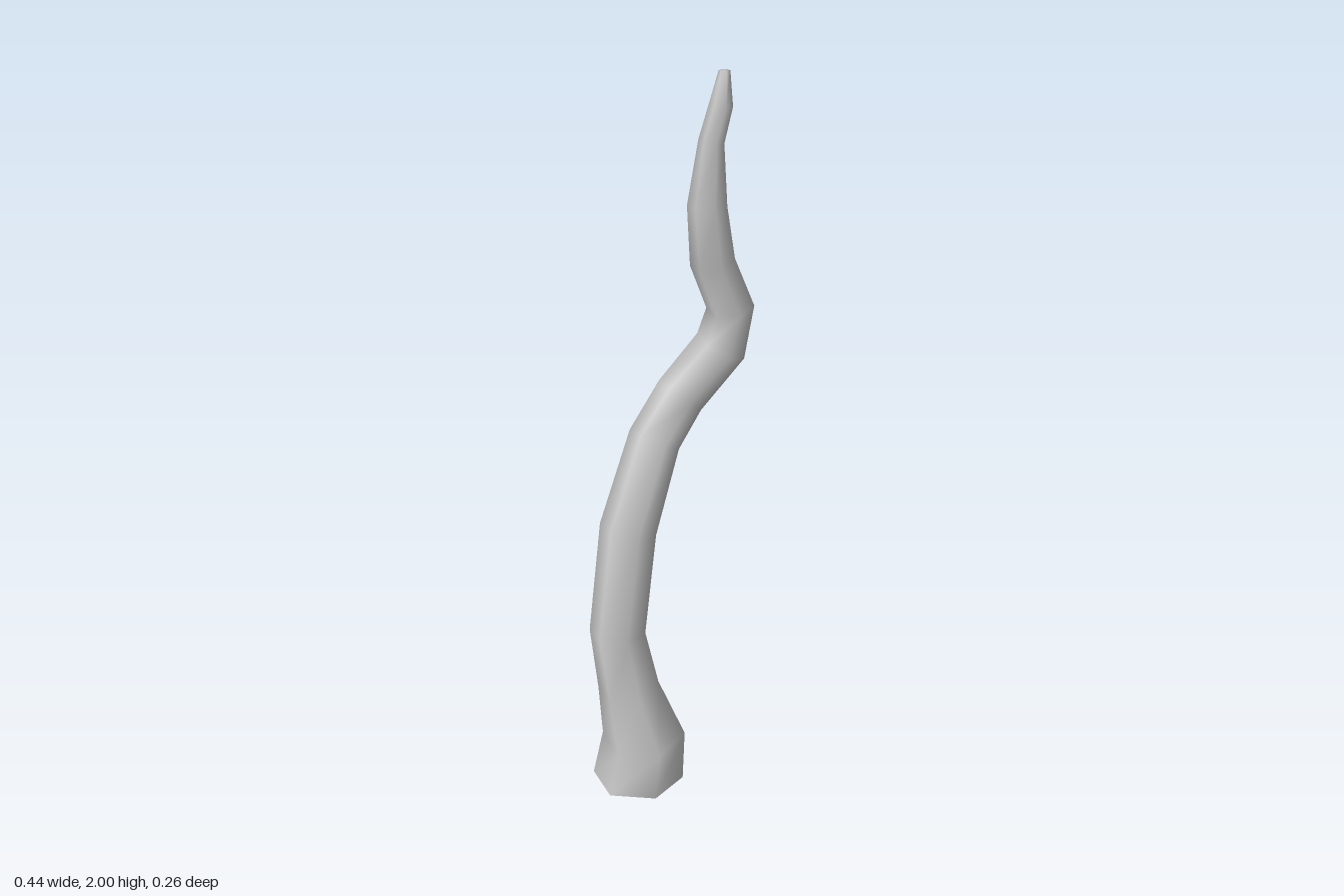
import * as THREE from 'three';

const SIDES = 6;
const START = THREE.MathUtils.degToRad(20);

// Centre line of the tentacle with its radius: x, y, z, r
const RINGS = [
  [-0.088, 0, 0, 0.13],
  [-0.074, 0.15, 0.015, 0.118],
  [-0.122, 0.33, 0.038, 0.086],
  [-0.15, 0.5, 0.036, 0.077],
  [-0.115, 0.8, 0.025, 0.077],
  [-0.035, 1.04, -0.005, 0.07],
  [0.04, 1.15, -0.027, 0.068],
  [0.148, 1.28, -0.022, 0.07],
  [0.163, 1.395, 0.01, 0.062],
  [0.11, 1.52, 0.025, 0.058],
  [0.088, 1.67, 0.05, 0.05],
  [0.093, 1.83, 0.064, 0.032],
  [0.112, 1.92, 0.08, 0.029],
  [0.118, 2, 0.084, 0.014],
];

// Sweeps a hexagon along the centre line, each ring square to the bend
function sweep(rings) {
  const up = new THREE.Vector3(0, 1, 0);
  const centres = rings.map(([x, y, z]) => new THREE.Vector3(x, y, z));
  const last = rings.length - 1;
  const positions = [];
  const index = [];

  rings.forEach(([, , , r], i) => {
    // Both ends stay level
    const dir = i === 0 || i === last
      ? up
      : centres[i + 1].clone().sub(centres[i - 1]).normalize();
    const turn = new THREE.Quaternion().setFromUnitVectors(up, dir);
    for (let j = 0; j < SIDES; j++) {
      const a = START + (j / SIDES) * Math.PI * 2;
      const p = new THREE.Vector3(Math.cos(a) * r, 0, Math.sin(a) * r);
      positions.push(...p.applyQuaternion(turn).add(centres[i]).toArray());
    }
  });

  for (let i = 0; i < last; i++) {
    for (let j = 0; j < SIDES; j++) {
      const k = (j + 1) % SIDES;
      const a = i * SIDES + j, b = i * SIDES + k;
      index.push(a, a + SIDES, b, b, a + SIDES, b + SIDES);
    }
  }

  // Smoothly shaded tip
  const tip = positions.length / 3;
  positions.push(...centres[last].toArray());
  for (let j = 0; j < SIDES; j++) {
    index.push(tip, last * SIDES + ((j + 1) % SIDES), last * SIDES + j);
  }

  const geometry = new THREE.BufferGeometry();
  geometry.setAttribute('position', new THREE.Float32BufferAttribute(positions, 3));
  geometry.setIndex(index);
  geometry.computeVertexNormals();
  return geometry;
}

export function createModel() {
  const group = new THREE.Group();
  group.name = 'tentacle';
  const material = new THREE.MeshStandardMaterial({ color: 0xcccccc });

  const body = new THREE.Mesh(sweep(RINGS), material);
  body.name = 'tentacleBody';
  group.add(body);

  // Flat underside
  const [x, y, z, r] = RINGS[0];
  const base = new THREE.Mesh(
    new THREE.CircleGeometry(r, SIDES, START).rotateX(Math.PI / 2), material);
  base.position.set(x, y, z);
  base.name = 'baseCap';
  group.add(base);

  return group;
}
